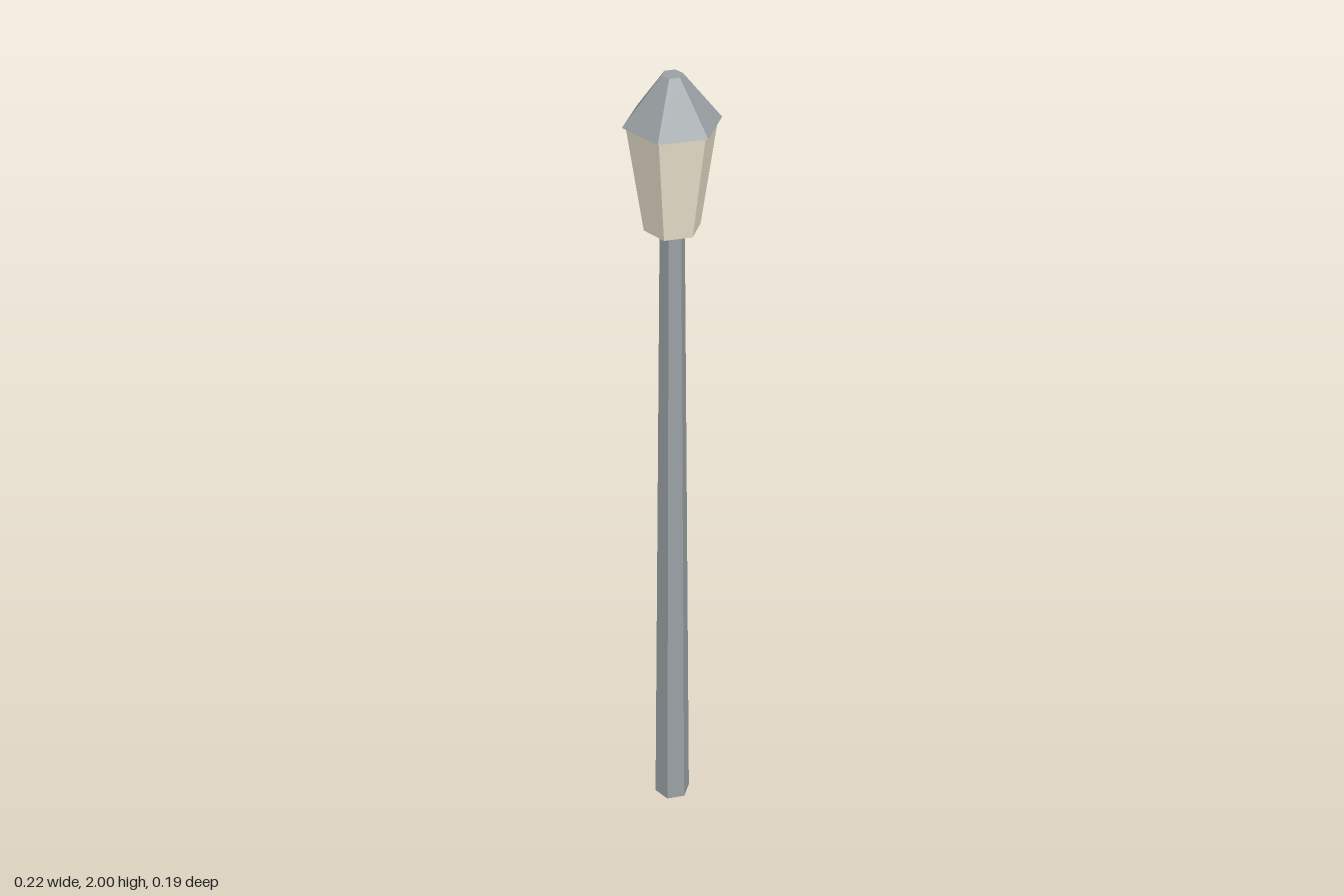
import * as THREE from 'three';

const metal = new THREE.MeshStandardMaterial({ color: 0x9aa1a4, flatShading: true });
const glass = new THREE.MeshStandardMaterial({ color: 0xeee4cf, flatShading: true });

// Closed tapered six-sided prism, corners on the x axis, flat faces to front and back
function taperedHex(name, rBottom, rTop, y0, y1, material) {
  const geometry = new THREE.CylinderGeometry(rTop, rBottom, y1 - y0, 6, 1, false, Math.PI / 6);
  const mesh = new THREE.Mesh(geometry, material);
  mesh.name = name;
  mesh.position.y = (y0 + y1) / 2;
  return mesh;
}

export function createModel() {
  const group = new THREE.Group();
  group.name = 'streetLamp';
  group.add(
    taperedHex('pole', 0.044, 0.028, 0, 1.64, metal),
    taperedHex('lanternGlass', 0.063, 0.1, 1.64, 1.89, glass),
    taperedHex('lanternRoof', 0.108, 0.023, 1.89, 2, metal),
  );
  return group;
}
